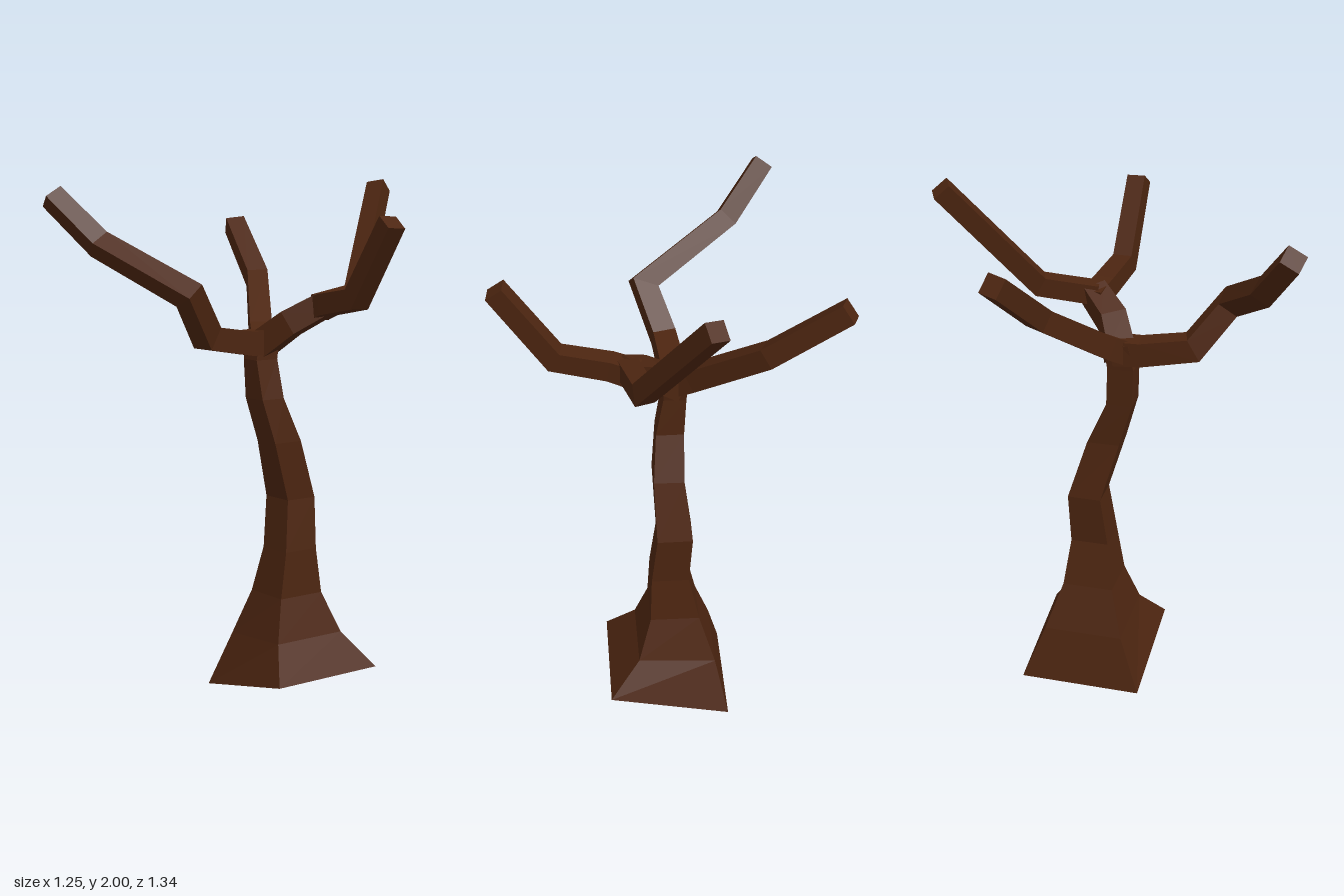
import * as THREE from 'three';

const bark = new THREE.MeshStandardMaterial({ color: 0x4c2510, flatShading: true });
bark.name = 'dark bark';

// Skins a list of four-cornered rings and closes both ends
function loft(name, rings) {
  const pos = [];
  const quad = (a, b, c, d) => [a, b, c, a, c, d].forEach(p => pos.push(p.x, p.y, p.z));
  for (let r = 0; r < rings.length - 1; r++) {
    for (let i = 0; i < 4; i++) {
      const j = (i + 1) % 4;
      quad(rings[r][i], rings[r][j], rings[r + 1][j], rings[r + 1][i]);
    }
  }
  const first = rings[0], last = rings[rings.length - 1];
  quad(first[3], first[2], first[1], first[0]);
  quad(last[0], last[1], last[2], last[3]);
  const geo = new THREE.BufferGeometry();
  geo.setAttribute('position', new THREE.Float32BufferAttribute(pos, 3));
  geo.computeVertexNormals();
  const mesh = new THREE.Mesh(geo, bark);
  mesh.name = name;
  return mesh;
}

// Trunk ring: a slightly turned square inside the given x and z extents
const corners = [[-0.69, -1], [-1, 0.7], [0.7, 1], [1, -0.7]];
function trunkRing([y, x0, x1, z0, z1, tilt = 0]) {
  return corners.map(([cx, cz]) => new THREE.Vector3(
    (x0 + x1) / 2 + cx * (x1 - x0) / 2,
    y + (cx > 0 ? tilt : 0),
    (z0 + z1) / 2 + cz * (z1 - z0) / 2));
}

// Square branch swept along a path with mitred joints and a slight taper
function branch(name, path, startHalf, endHalf) {
  const pts = path.map(p => new THREE.Vector3(...p));
  const n = pts.length;
  const dirs = pts.slice(1).map((p, i) => p.clone().sub(pts[i]).normalize());
  const u = new THREE.Vector3(0, 1, 0).cross(dirs[0]).normalize();
  const v = dirs[0].clone().cross(u);
  let offsets = [[1, 1], [-1, 1], [-1, -1], [1, -1]].map(([a, b]) =>
    u.clone().multiplyScalar(a).addScaledVector(v, b));
  const rings = pts.map((p, i) => {
    const along = dirs[Math.max(i - 1, 0)];
    const normal = along.clone().add(dirs[Math.min(i, n - 2)]).normalize();
    offsets = offsets.map(o =>
      o.clone().addScaledVector(along, -o.dot(normal) / along.dot(normal)));
    const half = THREE.MathUtils.lerp(startHalf, endHalf, i / (n - 1));
    return offsets.map(o => p.clone().addScaledVector(o, half));
  });
  return loft(name, rings);
}

export function createModel() {
  const tree = new THREE.Group();
  tree.name = 'bareTree';

  // Trunk with flared, sloping foot: y, x range, z range, rise on the left side
  tree.add(loft('trunk', [
    [0, -0.28, 0.27, -0.36, 0.19, 0.1],
    [0.21, -0.215, 0.14, -0.27, 0.09, 0.02],
    [0.39, -0.145, 0.08, -0.2, 0.03],
    [0.57, -0.1, 0.07, -0.17, 0],
    [0.77, -0.11, 0.05, -0.18, -0.03],
    [1.0, -0.09, 0.045, -0.105, 0.04],
    [1.17, -0.105, 0.02, -0.03, 0.085],
    [1.32, -0.11, -0.01, -0.025, 0.09],
    [1.42, -0.115, -0.01, -0.04, 0.07],
  ].map(trunkRing)));

  // Branches leaving the crown of the trunk
  tree.add(branch('backRightBranch',
    [[-0.06, 1.38, 0.02], [-0.12, 1.42, -0.03], [-0.34, 1.61, -0.24], [-0.585, 1.82, -0.36]],
    0.045, 0.038));
  tree.add(branch('frontBranch',
    [[-0.06, 1.385, 0], [-0.07, 1.385, 0.1], [-0.085, 1.415, 0.29], [-0.04, 1.58, 0.425],
      [-0.4, 1.76, 0.54], [-0.565, 1.935, 0.625]],
    0.048, 0.037));
  tree.add(branch('leftLimb',
    [[-0.07, 1.37, 0.02], [0.05, 1.46, -0.02], [0.15, 1.53, -0.1]],
    0.052, 0.045));

  // Fork of the left limb
  tree.add(branch('leftBranch',
    [[0.11, 1.51, -0.1], [0.2, 1.535, -0.06], [0.39, 1.565, 0], [0.585, 1.845, 0.04]],
    0.042, 0.036));
  tree.add(branch('backBranch',
    [[0.14, 1.53, -0.08], [0.135, 1.56, -0.3], [-0.03, 1.975, -0.63]],
    0.038, 0.036));

  return tree;
}
